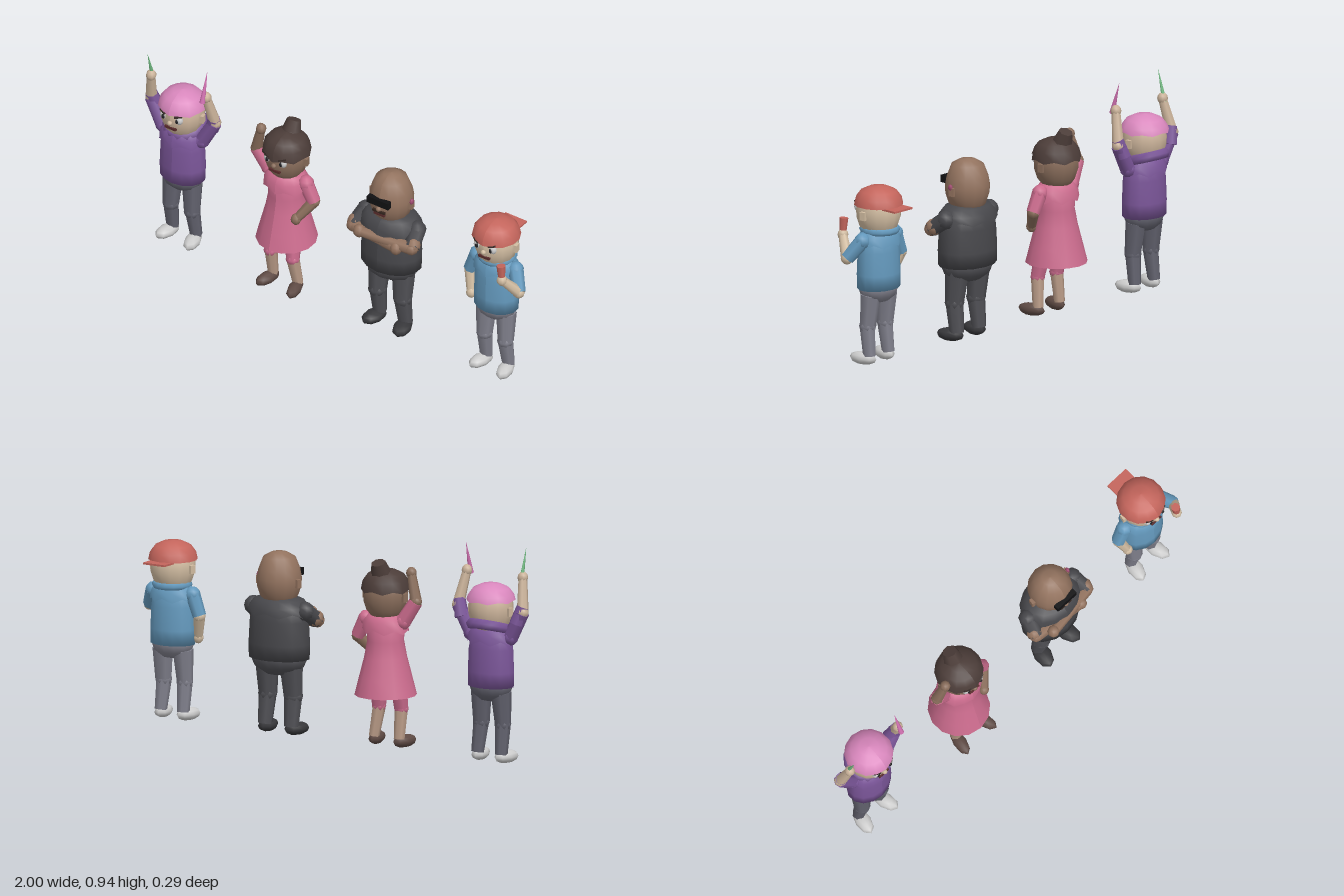
import * as THREE from 'three';

const mats = {};
const mat = (c) => (mats[c] ??= new THREE.MeshStandardMaterial({ color: c, side: THREE.DoubleSide }));
const V = (p) => new THREE.Vector3(...p);

function add(parent, name, geo, color, pos = [0, 0, 0], scale = [1, 1, 1], rot = [0, 0, 0]) {
  const m = new THREE.Mesh(geo, mat(color));
  m.name = name;
  m.position.set(...pos);
  m.scale.set(...scale);
  m.rotation.set(...rot);
  parent.add(m);
  return m;
}

const ball = (parent, name, color, pos, size, seg = 8) =>
  add(parent, name, new THREE.SphereGeometry(1, seg, 6), color, pos, size);
const box = (parent, name, color, pos, size, rot) =>
  add(parent, name, new THREE.BoxGeometry(...size), color, pos, [1, 1, 1], rot);

// Tapered segment from a to b
function limb(parent, name, color, a, b, ra, rb) {
  const d = V(b).sub(V(a));
  const m = add(parent, name, new THREE.CylinderGeometry(rb, ra, d.length(), 7), color);
  m.position.copy(V(a)).addScaledVector(d, 0.5);
  m.quaternion.setFromUnitVectors(new THREE.Vector3(0, 1, 0), d.normalize());
  return m;
}

// Turned shape with an oval plan; wave lifts and lowers the first ring
function turned(parent, name, color, profile, depth, seg = 14, wave = 0) {
  const g = new THREE.LatheGeometry(profile.map((p) => new THREE.Vector2(...p)), seg);
  const p = g.attributes.position, n = profile.length;
  for (let i = 0; i <= seg; i++) p.setY(i * n, p.getY(i * n) + wave * (i % 2 ? 1 : -1));
  g.computeVertexNormals();
  return add(parent, name, g, color, [0, 0, 0], [1, 1, depth]);
}

function head(g, skin, { top = 0.775, shades = false } = {}) {
  const h = new THREE.Group();
  h.name = 'head';
  g.add(h);
  turned(h, 'skull', skin, [[0, 0.57], [0.06, 0.575], [0.082, 0.605], [0.095, 0.645], [0.097, 0.68],
    [0.09, 0.72], [0.07, top - 0.025], [0.035, top - 0.005], [0, top]], 1);
  for (const s of [-1, 1]) {
    box(h, 'ear', skin, [s * 0.1, 0.665, -0.005], [0.016, 0.036, 0.026], [0, s * 0.2, 0]);
    if (shades) continue;
    ball(h, 'eye', 0xe4e4e4, [s * 0.04, 0.682, 0.083], [0.018, 0.021, 0.016]);
    ball(h, 'pupil', 0x202024, [s * 0.036, 0.681, 0.096], [0.008, 0.011, 0.006]);
    box(h, 'eyebrow', 0x3a2e2a, [s * 0.04, 0.704, 0.092], [0.034, 0.007, 0.01], [0, s * 0.4, s * 0.25]);
  }
  ball(h, 'nose', skin, [0, 0.66, 0.097], [0.012, 0.012, 0.012]);
  box(h, 'mouth', 0x5a2c2c, [0, 0.632, 0.09], [0.056, 0.011, 0.012]);
  if (shades) {
    box(h, 'shades', 0x111113, [0, 0.697, 0.094], [0.11, 0.032, 0.024]);
    box(h, 'moustache', 0x35261f, [0, 0.647, 0.094], [0.062, 0.01, 0.012]);
    ball(h, 'earring', 0xa04a70, [0.105, 0.685, 0], [0.008, 0.014, 0.012]);
  }
  return h;
}

// Cap of hair or cloth over the skull
const crown = (h, name, color, low, wave = 0) =>
  turned(h, name, color, [[0.106, low], [0.099, 0.732], [0.078, 0.76], [0.042, 0.777], [0, 0.782]], 1, 14, wave);

// Shirt body, zigzag yoke and neck ring
function shirt(g, color, w, depth) {
  turned(g, 'torso', color, [[0, 0.335], [w, 0.335], [w * 1.01, 0.4], [w * 0.97, 0.5],
    [w * 0.86, 0.56], [w * 0.55, 0.6]], depth);
  turned(g, 'yoke', color, [[w * 1.03, 0.53], [w * 0.98, 0.562], [w * 0.8, 0.59], [w * 0.5, 0.602]], depth, 14, 0.009);
}

function legs(g, { thigh, shin, shoe, r = 0.041, z = 0, feet = [-0.055, 0.065], hip = 0.05 }) {
  feet.forEach((fx, i) => {
    const s = i ? 1 : -1;
    const leg = new THREE.Group();
    leg.name = s > 0 ? 'leftLeg' : 'rightLeg';
    g.add(leg);
    const knee = [(s * hip + fx) / 2, 0.17, z + 0.012];
    limb(leg, 'thigh', thigh, [s * hip, 0.31, z * 0.6], knee, r * 1.12, r * 0.88);
    ball(leg, 'knee', thigh, knee, [r * 0.9, r * 0.85, r * 0.9]);
    limb(leg, 'shin', shin, knee, [fx, 0.04, z - 0.005], r * 0.84, r * 0.68);
    ball(leg, 'shoe', shoe, [fx + s * 0.006, 0.028, z + 0.028], [r * 0.85, 0.028, 0.066])
      .rotation.y = s * 0.22;
  });
}

function arm(g, name, { sleeve, skin, shoulder, elbow, hand, r = 0.031 }) {
  const a = new THREE.Group();
  a.name = name;
  g.add(a);
  ball(a, 'shoulder', sleeve, shoulder, [r * 1.15, r * 1.15, r * 1.15]);
  limb(a, 'sleeve', sleeve, shoulder, elbow, r * 1.1, r * 0.98);
  ball(a, 'elbow', skin, elbow, [r * 0.88, r * 0.88, r * 0.88]);
  limb(a, 'forearm', skin, elbow, hand, r * 0.85, r * 0.62);
  ball(a, 'hand', skin, hand, [r * 0.75, r * 0.85, r * 0.75]);
  return a;
}

function person(root, name, x) {
  const g = new THREE.Group();
  g.name = name;
  g.position.x = x;
  root.add(g);
  return g;
}

export function createModel() {
  const root = new THREE.Group();
  root.name = 'fourFigures';

  // Figure with raised arms, each hand holding a pointed stick
  let g = person(root, 'cheeringFigure', -0.81);
  let skin = 0xcbb39a, cloth = 0x7a5598, pants = 0x62626e;
  crown(head(g, skin), 'hair', 0xd987bd, 0.708, 0.004);
  shirt(g, cloth, 0.106, 0.78);
  add(g, 'hood', new THREE.TorusGeometry(0.075, 0.024, 6, 14), cloth, [0, 0.595, -0.018], [1, 1, 1], [Math.PI / 2 + 0.3, 0, 0]);
  ball(g, 'hips', pants, [0, 0.335, 0], [0.1, 0.07, 0.076], 12);
  legs(g, { thigh: pants, shin: pants, shoe: 0xc8c8c8 });
  for (const s of [-1, 1]) {
    const a = arm(g, s > 0 ? 'leftArm' : 'rightArm', { sleeve: cloth, skin, shoulder: [s * 0.1, 0.555, 0],
      elbow: [s * 0.165, 0.67, -0.005], hand: [s * 0.143, 0.815, 0.03] });
    limb(a, 'upperSleeve', cloth, [s * 0.14, 0.62, -0.015], [s * 0.163, 0.695, 0], 0.032, 0.027);
    if (s > 0) limb(a, 'stick', 0xd070b0, [0.14, 0.8, 0.055], [0.138, 0.937, 0.016], 0.013, 0.0006);
    else limb(a, 'stick', 0x70b880, [-0.143, 0.8, 0.018], [-0.143, 0.937, 0.056], 0.011, 0.0006);
  }

  // Figure in a flared dress, one hand up and one on the hip
  g = person(root, 'dressFigure', -0.27);
  skin = 0x8a6e5c; cloth = 0xcc6c8e;
  const hair = 0x4c3d39;
  const hd = head(g, skin);
  crown(hd, 'hair', hair, 0.69, 0.006);
  ball(hd, 'bunBase', hair, [0, 0.77, -0.035], [0.04, 0.03, 0.04]);
  add(hd, 'bun', new THREE.CylinderGeometry(0.032, 0.044, 0.05, 7), hair, [0, 0.793, -0.047], [1, 1, 1], [-0.4, 0, 0]);
  turned(g, 'dress', cloth, [[0.134, 0.235], [0.115, 0.31], [0.092, 0.4], [0.079, 0.47], [0.082, 0.53], [0.05, 0.59]], 1);
  turned(g, 'yoke', cloth, [[0.106, 0.515], [0.1, 0.555], [0.08, 0.58], [0.05, 0.592]], 0.85, 14, 0.009);
  legs(g, { thigh: cloth, shin: 0xb89a86, shoe: 0x5e4a44, r: 0.035, z: 0.035, feet: [-0.05, 0.08] });
  arm(g, 'rightArm', { sleeve: cloth, skin, shoulder: [-0.09, 0.56, 0], elbow: [-0.145, 0.65, 0.015], hand: [-0.112, 0.77, 0.03] });
  arm(g, 'leftArm', { sleeve: cloth, skin, shoulder: [0.1, 0.555, 0], elbow: [0.142, 0.475, 0], hand: [0.09, 0.395, 0.06] });

  // Broad figure with crossed arms and shades
  g = person(root, 'broadFigure', 0.275);
  skin = 0x93735f; cloth = 0x47474b; pants = 0x505055;
  head(g, skin, { top: 0.797, shades: true });
  shirt(g, cloth, 0.142, 0.76);
  ball(g, 'hips', pants, [0, 0.335, 0], [0.13, 0.08, 0.1], 12);
  legs(g, { thigh: pants, shin: pants, shoe: 0x37373a, r: 0.047, feet: [-0.065, 0.07], hip: 0.064 });
  for (const s of [-1, 1]) {
    arm(g, s > 0 ? 'leftArm' : 'rightArm', { sleeve: cloth, skin, shoulder: [s * 0.132, 0.548, 0], r: 0.036,
      elbow: [s * 0.15, 0.5, 0.068], hand: [-s * 0.09, 0.505 + s * 0.014, 0.105 + s * 0.008] });
    ball(g, 'upperArm', skin, [s * 0.152, 0.51, 0.055], [0.033, 0.036, 0.038]);
  }

  // Figure in a backward cap holding a cup
  g = person(root, 'capFigure', 0.82);
  skin = 0xd2bda2; cloth = 0x6499bd; pants = 0x80808c;
  const red = 0xc4655c, h = head(g, skin);
  crown(h, 'cap', red, 0.7);
  box(h, 'visor', red, [0, 0.698, -0.11], [0.11, 0.008, 0.076]);
  shirt(g, cloth, 0.103, 0.79);
  add(g, 'collar', new THREE.TorusGeometry(0.072, 0.016, 6, 14), cloth, [0, 0.592, -0.006], [1, 1, 1], [Math.PI / 2, 0, 0]);
  ball(g, 'hips', pants, [0, 0.335, 0], [0.097, 0.068, 0.076], 12);
  legs(g, { thigh: pants, shin: pants, shoe: 0xc8c8c8, feet: [-0.055, 0.06] });
  arm(g, 'rightArm', { sleeve: cloth, skin, shoulder: [-0.1, 0.555, 0], elbow: [-0.135, 0.465, 0], hand: [-0.11, 0.365, 0.03] });
  const a = arm(g, 'leftArm', { sleeve: cloth, skin, shoulder: [0.1, 0.555, 0], elbow: [0.147, 0.48, 0.045], hand: [0.105, 0.565, 0.11] });
  limb(a, 'cup', red, [0.104, 0.585, 0.11], [0.1, 0.638, 0.109], 0.016, 0.02);

  return root;
}
